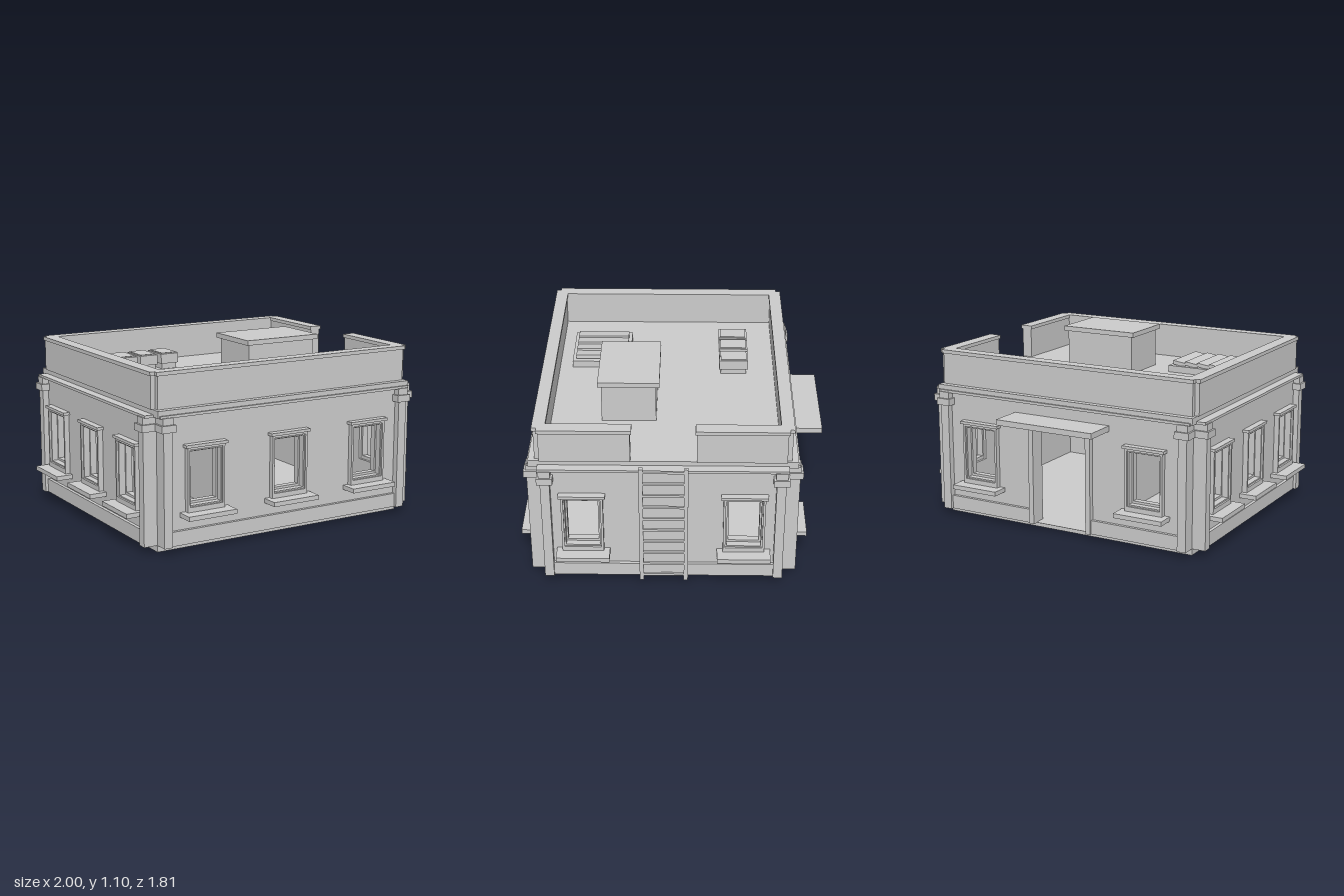
import * as THREE from 'three';

const stone = new THREE.MeshStandardMaterial({ color: 0xcccccc });
stone.name = 'plain grey';

const CZ = 0.05;            // depth of the building's centre
const HX = 0.845, HZ = 0.706; // half size of the plinth
const OUT = 0.062;          // trim plane beyond the plinth
const RECESS = 0.016;       // wall face behind the trim plane
const WALL = 0.075;         // wall thickness

function add(parent, name, geometry) {
  const mesh = new THREE.Mesh(geometry, stone);
  mesh.name = name;
  parent.add(mesh);
  return mesh;
}

// box given by its limits on each axis
function box(parent, name, x0, x1, y0, y1, z0, z1) {
  const g = new THREE.BoxGeometry(x1 - x0, y1 - y0, z1 - z0);
  g.translate((x0 + x1) / 2, (y0 + y1) / 2, (z0 + z1) / 2);
  return add(parent, name, g);
}

function rect(x0, x1, y0, y1, Type = THREE.Shape) {
  const s = new Type();
  s.moveTo(x0, y0);
  s.lineTo(x1, y0);
  s.lineTo(x1, y1);
  s.lineTo(x0, y1);
  s.closePath();
  return s;
}

// upright plate with rectangular holes, from z0 to z1
function plate(parent, name, outer, holes, z0, z1) {
  const shape = rect(...outer);
  for (const h of holes) shape.holes.push(rect(...h, THREE.Path));
  const g = new THREE.ExtrudeGeometry(shape, { depth: z1 - z0, bevelEnabled: false });
  g.translate(0, 0, z0);
  return add(parent, name, g);
}

function addWindow(side, x, face) {
  const w = new THREE.Group();
  w.name = 'window';
  w.position.x = x;
  side.add(w);
  plate(w, 'windowTrim', [-0.122, 0.122, 0.225, 0.605],
    [[-0.108, 0.108, 0.256, 0.589]], face - 0.03, face + 0.016);
  plate(w, 'windowInnerTrim', [-0.11, 0.11, 0.254, 0.591],
    [[-0.1, 0.1, 0.264, 0.58]], face - 0.035, face + 0.004);
  plate(w, 'windowSash', [-0.106, 0.106, 0.256, 0.59],
    [[-0.09, 0.09, 0.278, 0.567]], face - 0.075, face - 0.035);
  box(w, 'windowHood', -0.136, 0.136, 0.603, 0.62, face - 0.03, face + 0.026);
  box(w, 'windowSill', -0.157, 0.157, 0.2, 0.227, face - 0.03, face + 0.091);
}

// one facade: local x along the wall, z outward
function addSide(parent, name, half, depth, angle, windows, door) {
  const side = new THREE.Group();
  side.name = name;
  side.position.z = CZ;
  side.rotation.y = angle;
  parent.add(side);
  const face = depth + OUT;
  const holes = windows.map((x) => [x - 0.105, x + 0.105, 0.257, 0.589]);
  if (door) holes.push([-0.185, 0.185, 0.042, 0.675]);
  plate(side, 'wall', [-half, half, 0.04, 0.79], holes, face - RECESS - WALL, face - RECESS);

  // base course, broken by the doorway
  const runs = door ? [[-half, -0.21], [0.21, half]] : [[-half, half]];
  for (const [a, b] of runs) box(side, 'baseCourse', a, b, 0.04, 0.125, face - 0.03, face + 0.004);
  box(side, 'cornice', -half - 0.015, half + 0.015, 0.786, 0.802, face - 0.06, face + 0.018);

  // corner pilasters with stepped capitals
  for (const s of [-1, 1]) {
    const p = new THREE.Group();
    p.name = 'pilaster';
    p.position.x = s * (half - 0.0275);
    side.add(p);
    box(p, 'pilasterShaft', -0.0275, 0.0275, 0.04, 0.71, face - 0.03, face + 0.022);
    box(p, 'pilasterCapital', -0.046, 0.046, 0.708, 0.75, face - 0.06, face + 0.038);
    box(p, 'pilasterBlock', -0.034, 0.034, 0.75, 0.79, face - 0.06, face + 0.026);
  }

  for (const x of windows) addWindow(side, x, face);

  if (door) {
    for (const s of [-1, 1]) {
      const x = s * 0.197;
      box(side, 'doorJamb', x - 0.016, x + 0.016, 0.04, 0.69, face - 0.035, face + 0.018);
    }
    box(side, 'doorCanopy', -0.325, 0.325, 0.68, 0.714, face - 0.03, face + 0.187);
  }
}

// parapet piece with a slightly wider cap
function addParapet(parent, x0, x1, z0, z1) {
  box(parent, 'parapetWall', x0, x1, 0.83, 1.025, z0, z1);
  box(parent, 'parapetCap', x0 - 0.008, x1 + 0.008, 1.02, 1.042, z0 - 0.008, z1 + 0.008);
}

function addLadder(parent) {
  const ladder = new THREE.Group();
  ladder.name = 'ladder';
  parent.add(ladder);
  for (const z of [-0.083, 0.178]) {
    box(ladder, 'ladderRail', 0.934, 0.956, 0.04, 0.83, z - 0.012, z + 0.012);
    for (const y of [0.12, 0.7]) box(ladder, 'ladderBracket', 0.88, 0.94, y, y + 0.015, z - 0.007, z + 0.007);
  }
  for (let i = 0; i < 10; i++) {
    const y = 0.075 + i * 0.0812;
    box(ladder, 'ladderRung', 0.938, 0.952, y - 0.007, y + 0.007, -0.08, 0.175);
  }
}

function addRoofItems(parent) {
  // roof access box with lid
  box(parent, 'roofHatch', -0.03, 0.435, 0.82, 1.075, 0.1, 0.425);
  box(parent, 'roofHatchLid', -0.052, 0.455, 1.07, 1.1, 0.08, 0.445);

  // louvred skylight
  box(parent, 'skylightBase', -0.585, -0.2, 0.82, 0.872, 0.28, 0.647);
  for (let i = 0; i < 4; i++) {
    const slat = add(parent, 'skylightSlat', new THREE.BoxGeometry(0.086, 0.024, 0.325));
    slat.position.set(-0.52 + i * 0.085, 0.885, 0.463);
    slat.rotation.z = 0.14;
  }

  // row of three vents
  for (const x of [-0.478, -0.333, -0.183]) {
    box(parent, 'ventBase', x - 0.052, x + 0.052, 0.82, 0.87, -0.453, -0.293);
    box(parent, 'ventCap', x - 0.062, x + 0.062, 0.865, 0.927, -0.463, -0.283);
    box(parent, 'ventTop', x - 0.053, x + 0.053, 0.925, 0.933, -0.454, -0.292);
  }
}

export function createModel() {
  const building = new THREE.Group();
  building.name = 'building';

  box(building, 'plinth', -HX, HX, 0, 0.042, CZ - HZ, CZ + HZ);
  box(building, 'roofSlab', -0.87, 0.87, 0.788, 0.83, CZ - 0.775, CZ + 0.775);
  box(building, 'partition', -0.19, -0.16, 0.04, 0.79, CZ - 0.68, CZ + 0.68);

  const W = 0.567, S = 0.472;
  addSide(building, 'frontSide', HX, HZ, 0, [-W, 0, W], false);
  addSide(building, 'backSide', HX, HZ, Math.PI, [-W, W], true);
  addSide(building, 'ladderSide', HZ, HX, Math.PI / 2, [-S, S], false);
  addSide(building, 'plainSide', HZ, HX, -Math.PI / 2, [-S, 0, S], false);

  // parapet with notched corners and a gap at the head of the ladder
  const px = 0.88, pi = 0.815, z0 = CZ - 0.737, z1 = CZ + 0.737, t = 0.06, n = 0.028;
  addParapet(building, -px + n, px - n, z1 - t, z1);
  addParapet(building, -px + n, px - n, z0, z0 + t);
  addParapet(building, -px, -pi, z0 + n, z1 - n);
  addParapet(building, pi, px, z0 + n, -0.142);
  addParapet(building, pi, px, 0.238, z1 - n);

  addLadder(building);
  addRoofItems(building);
  return building;
}
